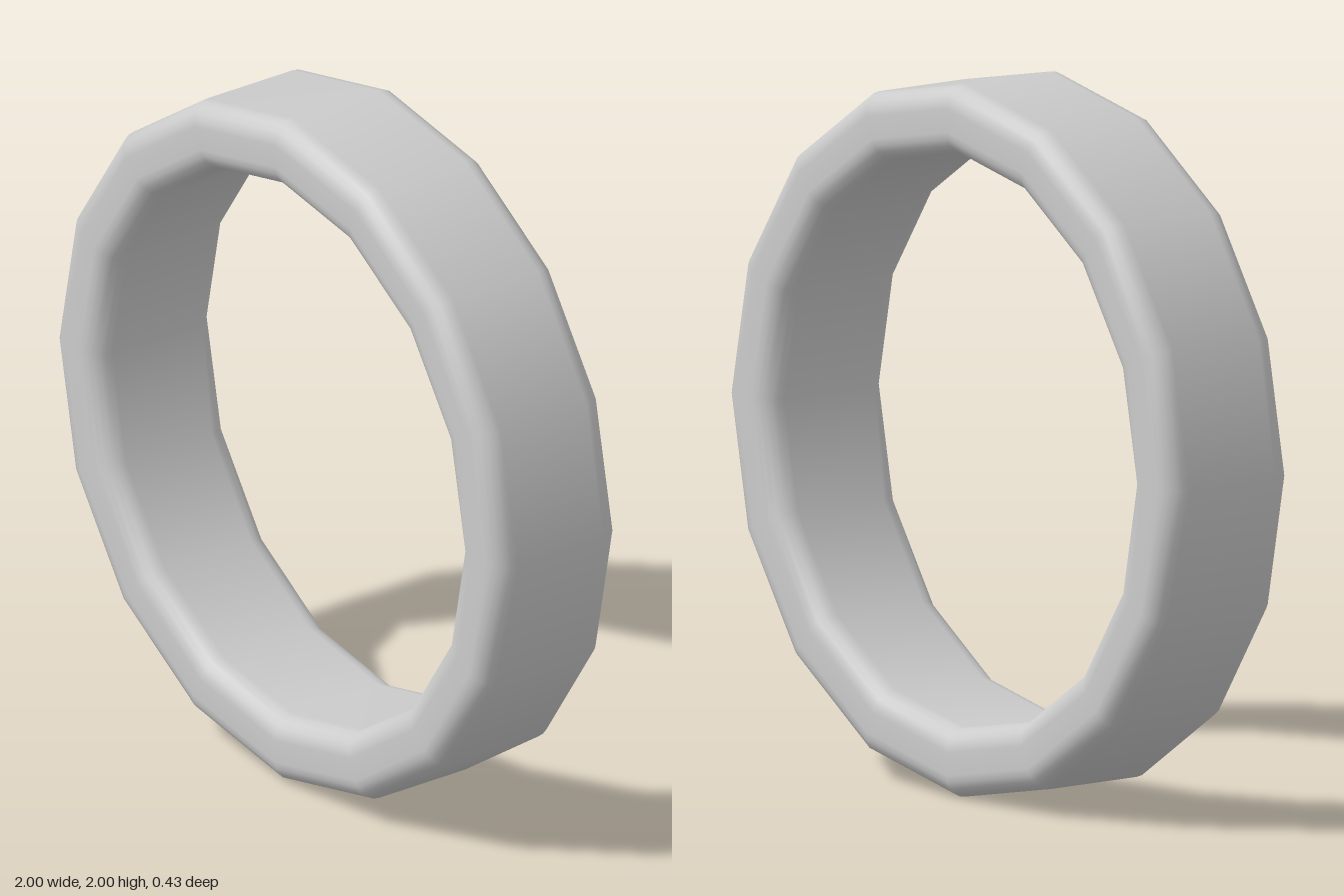
import * as THREE from 'three';

const OUTER = 1, INNER = 0.805, HALF = 0.215, BEVEL = 0.065, STEPS = 5, SIDES = 16;

// Closed rounded-rectangle cross-section, counter-clockwise from the middle of the bore
function ringProfile() {
  const points = [new THREE.Vector2(INNER, 0)];
  const corners = [
    [INNER + BEVEL, -HALF + BEVEL, Math.PI],
    [OUTER - BEVEL, -HALF + BEVEL, Math.PI * 1.5],
    [OUTER - BEVEL, HALF - BEVEL, 0],
    [INNER + BEVEL, HALF - BEVEL, Math.PI * 0.5],
  ];
  for (const [cx, cy, start] of corners) {
    for (let i = 0; i <= STEPS; i++) {
      const a = start + (i / STEPS) * Math.PI / 2;
      points.push(new THREE.Vector2(cx + BEVEL * Math.cos(a), cy + BEVEL * Math.sin(a)));
    }
  }
  points.push(new THREE.Vector2(INNER, 0));
  return points;
}

export function createModel() {
  const group = new THREE.Group();
  group.name = 'ringModel';

  // Sixteen-sided band standing upright, its axis along z
  const geometry = new THREE.LatheGeometry(ringProfile(), SIDES);
  geometry.rotateX(Math.PI / 2);
  const ring = new THREE.Mesh(geometry, new THREE.MeshStandardMaterial({ color: 0xcccccc }));
  ring.name = 'ringBand';
  ring.position.y = OUTER;
  group.add(ring);

  return group;
}
